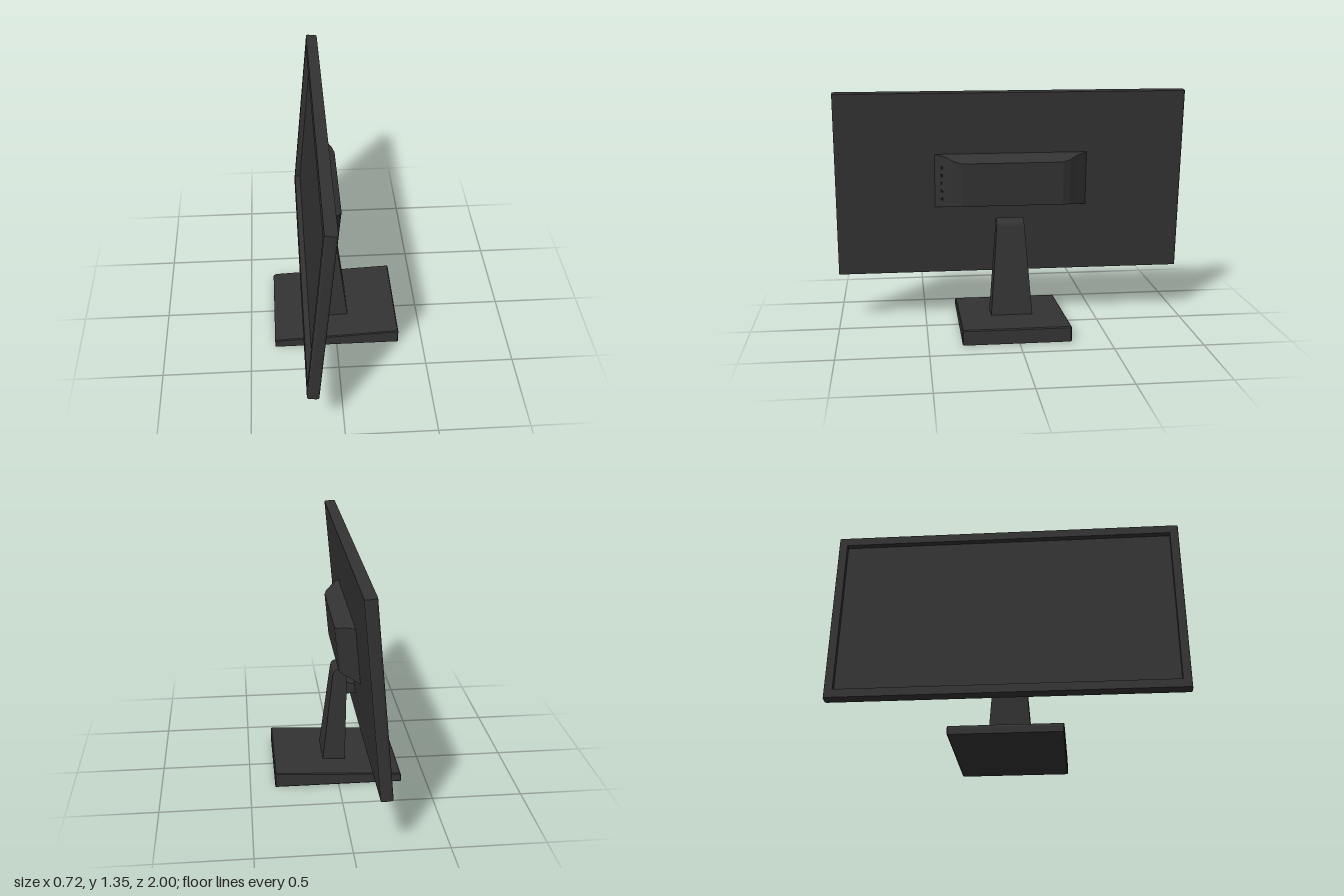
import * as THREE from 'three';

const dark = new THREE.MeshStandardMaterial({ color: 0x333333 });
dark.flatShading = true;
const black = new THREE.MeshStandardMaterial({ color: 0x1c1c1c });

function add(parent, name, geometry, material = dark) {
  const mesh = new THREE.Mesh(geometry, material);
  mesh.name = name;
  parent.add(mesh);
  return mesh;
}

// Extrude an outline in x, y along z, centred on z = 0
function extrude(shape, depth, bevel = 0) {
  const g = new THREE.ExtrudeGeometry(shape, {
    depth: depth - 2 * bevel, curveSegments: 5, bevelEnabled: bevel > 0,
    bevelSize: bevel, bevelThickness: bevel, bevelOffset: -bevel, bevelSegments: 1,
  });
  return g.translate(0, 0, -depth / 2 + bevel);
}

const polygon = (pts) => new THREE.Shape(pts.map(([x, y]) => new THREE.Vector2(x, y)));

// Rectangular sections stacked along +x: [x, half width in z, top, bottom]
function loftX(levels) {
  const pos = [], index = [];
  for (const [x, w, top, bottom] of levels) pos.push(x, bottom, w, x, bottom, -w, x, top, -w, x, top, w);
  const n = levels.length;
  for (let i = 0; i < n - 1; i++) {
    for (let j = 0; j < 4; j++) {
      const a = i * 4 + j, b = i * 4 + (j + 1) % 4;
      index.push(a, b, b + 4, a, b + 4, a + 4);
    }
  }
  const e = (n - 1) * 4;
  index.push(e, e + 1, e + 2, e, e + 2, e + 3, 0, 2, 1, 0, 3, 2);
  const g = new THREE.BufferGeometry();
  g.setAttribute('position', new THREE.Float32BufferAttribute(pos, 3));
  g.setIndex(index);
  const flat = g.toNonIndexed();
  flat.computeVertexNormals();
  return flat;
}

export function createModel() {
  const model = new THREE.Group();
  model.name = 'monitor';
  const zMid = 0.0125;

  // Wedge-shaped foot, rounded at the low end
  const foot = new THREE.Shape();
  foot.moveTo(-0.36, 0);
  foot.lineTo(0.36, 0);
  foot.lineTo(0.36, 0.08);
  foot.lineTo(0.354, 0.086);
  foot.lineTo(-0.335, 0.053);
  foot.quadraticCurveTo(-0.36, 0.051, -0.36, 0.03);
  add(model, 'base', extrude(foot, 0.605, 0.005)).position.z = zMid;

  // Stand, narrowing towards its top
  const neckShape = new THREE.Shape();
  neckShape.moveTo(-0.054, 0.05);
  neckShape.lineTo(0.077, 0.05);
  neckShape.lineTo(0.012, 0.58);
  neckShape.quadraticCurveTo(0.007, 0.608, -0.012, 0.613);
  neckShape.lineTo(-0.07, 0.615);
  const neck = extrude(neckShape, 1);
  const p = neck.attributes.position;
  for (let i = 0; i < p.count; i++) {
    p.setZ(i, p.getZ(i) * THREE.MathUtils.mapLinear(p.getY(i), 0.08, 0.615, 0.236, 0.154));
  }
  neck.computeVertexNormals();
  add(model, 'neck', neck).position.z = zMid;

  // Bracket joining the stand to the display
  const bracket = polygon([[-0.13, 0.46], [-0.05, 0.46], [-0.05, 0.535], [-0.13, 0.512]]);
  add(model, 'bracket', extrude(bracket, 0.14)).position.z = zMid;

  // Tilted display: screen faces -x
  const display = new THREE.Group();
  display.name = 'display';
  display.position.set(-0.12, 0.815, 0);
  display.rotation.z = -0.09;
  model.add(display);

  const t = 0.0325, h = 0.53, bezel = 0.05, recess = 0.035;
  // Shell with the screen recess cut into its front
  const shell = polygon([
    [-t, -h], [t, -h], [t, h], [-t, h], [-t, h - bezel],
    [-t + recess, h - bezel], [-t + recess, -h + bezel], [-t, -h + bezel],
  ]);
  add(display, 'shell', extrude(shell, 2 - 2 * bezel));

  // Side bezels with rounded outer edges
  const r = 0.015;
  const post = new THREE.Shape();
  post.moveTo(-t, 0);
  post.lineTo(t, 0);
  post.lineTo(t, bezel - r);
  post.quadraticCurveTo(t, bezel, t - r, bezel);
  post.lineTo(-t + r, bezel);
  post.quadraticCurveTo(-t, bezel, -t, bezel - r);
  for (const s of [1, -1]) {
    const side = add(display, 'sideBezel', extrude(post, 2 * h));
    side.rotation.x = s * Math.PI / 2;
    side.position.z = s * (1 - bezel);
  }

  // Screen panel
  add(display, 'screen', new THREE.BoxGeometry(0.004, 2 * (h - bezel), 2 - 2 * bezel))
    .position.x = -t + recess - 0.001;

  // Rear housing, sloping in on all four sides
  add(display, 'rearHousing', loftX([
    [t - 0.002, 0.44, 0.18, -0.133],
    [0.055, 0.41, 0.178, -0.126],
    [0.08, 0.375, 0.172, -0.118],
    [0.117, 0.33, 0.156, -0.108],
    [0.132, 0.29, 0.147, -0.104],
  ]));

  // Row of control buttons on the sloping side of the housing
  for (let i = 0; i < 5; i++) {
    const button = add(display, 'button', new THREE.BoxGeometry(0.014, 0.016, 0.006), black);
    button.position.set(0.063, -0.075 + i * 0.046, 0.4);
    button.rotation.y = 0.95;
  }
  return model;
}
